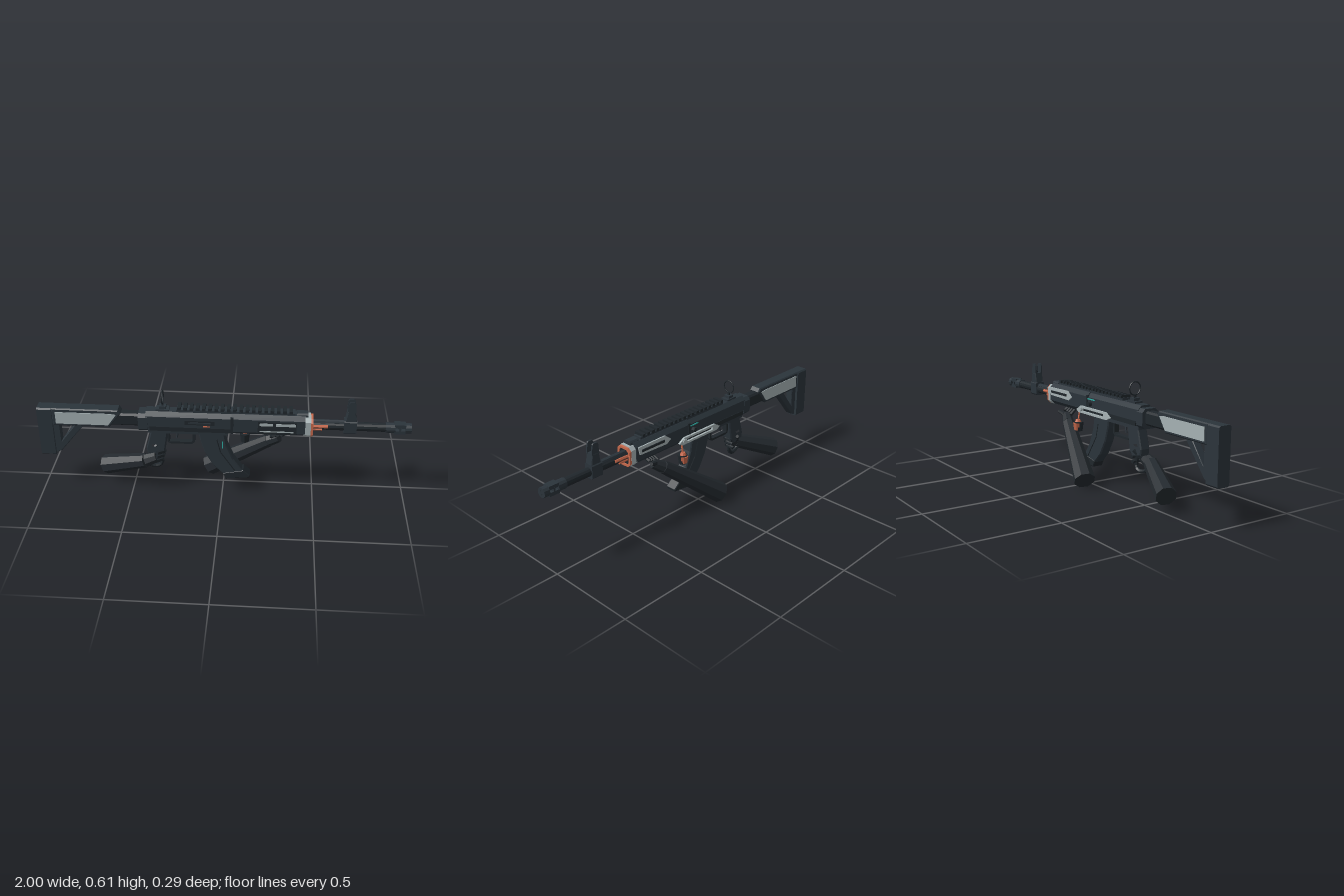
import * as THREE from 'three';

const mat = (name, color, side = THREE.FrontSide) => {
  const m = new THREE.MeshStandardMaterial({ color, flatShading: true, side });
  m.name = name;
  return m;
};

export function createModel() {
  const body = mat('gunmetal', 0x2b343b), dark = mat('dark steel', 0x20272c);
  const sleeve = mat('sleeve', 0x242a2f), light = mat('pale grey', 0xa5b1b3);
  const orange = mat('copper orange', 0xc8694c), teal = mat('teal', 0x2fb0a6);
  const model = new THREE.Group(), gun = new THREE.Group();
  gun.name = 'rifle';
  gun.position.z = 0.066;
  model.add(gun);

  const add = (name, geo, m, parent = gun) => {
    const mesh = new THREE.Mesh(geo, m);
    mesh.name = name;
    parent.add(mesh);
    return mesh;
  };
  // box given by its limits
  const box = (name, m, x0, x1, y0, y1, z0, z1, parent = gun) =>
    add(name, new THREE.BoxGeometry(x1 - x0, y1 - y0, z1 - z0), m, parent)
      .position.set((x0 + x1) / 2, (y0 + y1) / 2, (z0 + z1) / 2);
  const vecs = (pts) => pts.map(([x, y]) => new THREE.Vector2(x, y));
  // side profile extruded across z, with a small bevel
  const profile = (name, m, pts, half, holes = [], bevel = 0.006) => {
    const s = new THREE.Shape(vecs(pts));
    holes.forEach((h) => s.holes.push(new THREE.Path(vecs(h))));
    const geo = new THREE.ExtrudeGeometry(s, {
      depth: 2 * (half - bevel), bevelEnabled: bevel > 0, bevelSize: bevel, bevelOffset: -bevel,
      bevelThickness: bevel, bevelSegments: 1 });
    geo.translate(0, 0, -(half - bevel));
    return add(name, geo, m);
  };
  // chamfered rectangle swept along x, optionally hollow
  const octagon = (w, h, c) => vecs([[-w + c, -h], [w - c, -h], [w, -h + c], [w, h - c],
    [w - c, h], [-w + c, h], [-w, h - c], [-w, -h + c]]);
  const prism = (name, m, x0, x1, y0, y1, w, c, wall = 0) => {
    const h = (y1 - y0) / 2, s = new THREE.Shape(octagon(w, h, c));
    if (wall) s.holes.push(new THREE.Path(octagon(w - wall, h - wall, c * 0.8)));
    const geo = new THREE.ExtrudeGeometry(s, { depth: x1 - x0, bevelEnabled: false });
    geo.rotateY(Math.PI / 2).translate(x0, (y0 + y1) / 2, 0);
    return add(name, geo, m);
  };
  // tapered cylinder between two points
  const limb = (name, m, a, b, ra, rb, sides = 8, parent = gun) => {
    const A = new THREE.Vector3(...a), B = new THREE.Vector3(...b), d = B.clone().sub(A);
    const mesh = add(name, new THREE.CylinderGeometry(rb, ra, d.length(), sides), m, parent);
    mesh.position.copy(A).add(B).multiplyScalar(0.5);
    mesh.quaternion.setFromUnitVectors(new THREE.Vector3(0, 1, 0), d.normalize());
    return mesh;
  };

  // stock
  prism('buttPad', body, -1, -0.92, 0.205, 0.5, 0.037, 0.008);
  profile('stockBeam', body, [[-0.92, 0.395], [-0.61, 0.395], [-0.545, 0.48], [-0.56, 0.5], [-0.92, 0.5]], 0.034);
  profile('stockStrut', body, [[-0.925, 0.21], [-0.89, 0.225], [-0.75, 0.398], [-0.8, 0.398],
    [-0.885, 0.285], [-0.885, 0.398], [-0.925, 0.398]], 0.022, [], 0.004);
  profile('stockPanels', light, [[-0.9, 0.41], [-0.615, 0.41], [-0.57, 0.475], [-0.6, 0.48], [-0.9, 0.48]], 0.038, [], 0);
  prism('bufferTube', dark, -0.62, -0.44, 0.405, 0.478, 0.029, 0.01);

  // receiver
  prism('rearBlock', body, -0.45, -0.4, 0.385, 0.49, 0.05, 0.018);
  prism('receiver', body, -0.41, 0.05, 0.388, 0.502, 0.047, 0.022);
  box('receiverRib', dark, -0.39, 0.05, 0.395, 0.42, -0.05, 0.05);
  box('portFrame', dark, -0.2, -0.04, 0.44, 0.465, 0.044, 0.052);
  box('portBolt', body, -0.18, -0.06, 0.448, 0.456, 0.05, 0.055);
  box('selectorMark', orange, -0.1, -0.065, 0.428, 0.433, 0.045, 0.0505);
  box('statusLine', teal, -0.02, 0.05, 0.468, 0.474, -0.0505, -0.044);
  box('lowerReceiver', body, -0.4, 0.03, 0.372, 0.395, -0.036, 0.036);

  // handguard and nose cap
  prism('handguard', body, 0.05, 0.44, 0.384, 0.505, 0.051, 0.022);
  box('handguardJoint', dark, 0.045, 0.06, 0.395, 0.49, -0.053, 0.053);
  box('handguardRecess', dark, 0.19, 0.395, 0.405, 0.475, 0.05, 0.053);
  [[0.2, 0.27, 0.45, 0.466], [0.285, 0.39, 0.45, 0.466], [0.2, 0.38, 0.413, 0.42]].forEach(([a, b, c, d]) =>
    box('handguardVent', light, a, b, c, d, 0.052, 0.0545));
  prism('noseCap', light, 0.432, 0.47, 0.382, 0.494, 0.048, 0.018);
  prism('noseRing', orange, 0.468, 0.482, 0.382, 0.49, 0.047, 0.018, 0.012);
  prism('noseCore', dark, 0.46, 0.475, 0.395, 0.48, 0.034, 0.01);

  // far-side plates and charging handle
  profile('sidePlate', light, [[0.2, 0.455], [0.23, 0.435], [0.42, 0.44], [0.43, 0.485], [0.24, 0.487]], 0.004, [], 0)
    .position.z = -0.056;
  box('sideRib', dark, 0.25, 0.41, 0.455, 0.468, -0.066, -0.058);
  profile('handlePlate', light, [[-0.18, 0.4], [-0.15, 0.385], [0.12, 0.385], [0.14, 0.4], [0.1, 0.425], [-0.14, 0.425]],
    0.006, [[[-0.12, 0.397], [-0.12, 0.413], [0.09, 0.413], [0.09, 0.397]]], 0).position.z = -0.057;
  limb('chargingKnob', dark, [0.02, 0.445, -0.045], [0.02, 0.445, -0.066], 0.013, 0.013);
  limb('handleKnob', light, [0.1, 0.405, -0.05], [0.1, 0.405, -0.069], 0.014, 0.014);

  // top rail
  box('railBase', body, -0.245, 0.385, 0.498, 0.516, -0.026, 0.026);
  for (let i = 0; i < 19; i++) {
    const x = -0.24 + i * 0.033;
    box('railTooth', dark, x, x + 0.019, 0.514, 0.53, -0.03, 0.03);
  }
  prism('railEnd', body, 0.395, 0.455, 0.488, 0.515, 0.025, 0.008);

  // rear ring sight
  box('rearSightBase', body, -0.355, -0.285, 0.498, 0.512, -0.024, 0.024);
  box('rearSightPost', body, -0.338, -0.302, 0.51, 0.527, -0.018, 0.018);
  box('rearSightStem', dark, -0.325, -0.315, 0.525, 0.545, -0.006, 0.006);
  const ring = add('rearSightRing', new THREE.TorusGeometry(0.035, 0.0035, 6, 28), dark);
  ring.rotation.y = Math.PI / 2;
  ring.position.set(-0.32, 0.576, 0);

  // barrel and gas tubes
  limb('barrel', dark, [0.46, 0.437, 0], [0.88, 0.437, 0], 0.024, 0.024, 12);
  limb('gasTube', body, [0.46, 0.458, 0], [0.66, 0.458, 0], 0.014, 0.014);
  [-1, 1].forEach((s) => {
    limb('copperRod', orange, [0.46, 0.442, s * 0.022], [0.56, 0.442, s * 0.022], 0.009, 0.009, 6);
    limb('copperRod', orange, [0.46, 0.422, s * 0.016], [0.53, 0.422, s * 0.016], 0.009, 0.009, 6);
  });

  // front sight
  prism('frontSightBlock', body, 0.645, 0.712, 0.4, 0.48, 0.028, 0.008);
  profile('frontSightTower', body, [[0.65, 0.475], [0.71, 0.475], [0.7, 0.535], [0.66, 0.535]], 0.024, [], 0.003);
  [-1, 1].forEach((s) => {
    const ear = profile('frontSightEar', body, [[0.657, 0.53], [0.703, 0.53], [0.697, 0.585], [0.69, 0.592], [0.668, 0.592], [0.66, 0.58]], 0.004, [], 0);
    ear.position.z = s * 0.019;
  });
  limb('frontSightPin', dark, [0.68, 0.53, 0], [0.68, 0.576, 0], 0.006, 0.002, 6);

  // slotted muzzle
  limb('muzzleCollar', body, [0.865, 0.437, 0], [0.915, 0.437, 0], 0.028, 0.028, 12);
  limb('muzzleTip', body, [0.968, 0.437, 0], [1, 0.437, 0], 0.028, 0.028, 12);
  limb('muzzleBore', dark, [0.999, 0.437, 0], [1.0, 0.437, 0], 0.014, 0.014, 12);
  [-1, 1].forEach((s) => box('muzzleBar', body, 0.91, 0.97, 0.427 + s * 0.018, 0.447 + s * 0.018, -0.022, 0.022));
  box('muzzleWeb', body, 0.935, 0.945, 0.425, 0.45, -0.024, 0.024);

  // pistol grip with an opening near its foot, and trigger
  profile('pistolGrip', body, [[-0.385, 0.385], [-0.295, 0.385], [-0.305, 0.31], [-0.315, 0.25], [-0.34, 0.22], [-0.41, 0.235],
    [-0.415, 0.27]], 0.03, [[[-0.395, 0.275], [-0.385, 0.302], [-0.345, 0.295], [-0.352, 0.275]]]);
  profile('triggerGuard', dark, [[-0.3, 0.385], [-0.3, 0.305], [-0.285, 0.295], [-0.165, 0.295], [-0.15, 0.31], [-0.15, 0.385]],
    0.015, [[[-0.288, 0.375], [-0.163, 0.375], [-0.163, 0.315], [-0.172, 0.307], [-0.288, 0.307]]], 0);
  limb('trigger', body, [-0.24, 0.375, 0], [-0.25, 0.325, 0], 0.008, 0.005, 6);

  // curved magazine
  profile('magazine', body, [[-0.13, 0.385], [0.01, 0.385], [0.025, 0.3], [0.06, 0.215], [0.12, 0.13], [0.01, 0.108],
    [-0.05, 0.17], [-0.095, 0.25], [-0.12, 0.33]], 0.031);
  profile('magazineFoot', dark, [[0.0, 0.122], [0.02, 0.085], [0.15, 0.098], [0.152, 0.112], [0.115, 0.145]], 0.033, [], 0.004);
  [-1, 1].forEach((s) => {
    limb('magazineRib', dark, [-0.03, 0.34, s * 0.03], [-0.01, 0.26, s * 0.03], 0.004, 0.004, 4);
    limb('magazineRib', dark, [-0.01, 0.26, s * 0.03], [0.07, 0.14, s * 0.03], 0.004, 0.004, 4);
  });
  box('magazineLight', teal, -0.002, 0.004, 0.285, 0.33, 0.03, 0.0325);

  // hanging charm
  const charm = new THREE.Group();
  charm.name = 'charm';
  charm.position.set(0.118, 0.305, 0);
  model.add(charm);
  limb('charmLink', orange, [0, 0.025, 0], [0, 0.085, 0.01], 0.005, 0.005, 6, charm);
  limb('charmCap', orange, [0, 0.022, 0], [0, 0.04, 0], 0.02, 0.012, 8, charm);
  limb('charmBody', dark, [0, -0.026, 0.004], [0, 0.026, 0.004], 0.022, 0.028, 8, charm);
  limb('charmBack', orange, [0, -0.02, -0.006], [0, 0.02, -0.006], 0.018, 0.024, 8, charm);

  // arms: a tapered sleeve, wrist cuff, palm and curled fingers
  const arm = (name, end, cuff, palm, rEnd, rCuff) => {
    const g = new THREE.Group();
    g.name = name;
    model.add(g);
    limb('forearm', sleeve, end, cuff, rEnd, rCuff, 8, g);
    limb('palm', sleeve, cuff, palm, rCuff * 0.95, rCuff * 0.75, 8, g);
    return g;
  };
  const support = arm('supportArm', [-0.083, 0.049, -0.09], [0.25, 0.3, 0.02], [0.305, 0.335, 0.042], 0.06, 0.036);
  for (let i = 0; i < 4; i++) {
    const x = 0.265 + i * 0.02, y = 0.345 + i * 0.005;
    limb('finger', dark, [x, y - 0.005, 0.045], [x + 0.01, y + 0.022, 0.082], 0.012, 0.01, 6, support);
  }
  limb('thumb', dark, [0.3, 0.34, 0.025], [0.34, 0.355, 0.012], 0.014, 0.01, 6, support);

  const firing = arm('firingArm', [-0.665, 0.09, 0.005], [-0.42, 0.19, 0.1], [-0.36, 0.215, 0.1], 0.056, 0.04);
  for (let i = 0; i < 3; i++) {
    const y = 0.25 - i * 0.026, x = -0.325 - i * 0.006;
    limb('finger', dark, [x - 0.03, y, 0.115], [x + 0.005, y - 0.004, 0.085], 0.013, 0.013, 6, firing);
    limb('fingertip', dark, [x + 0.005, y - 0.004, 0.085], [x, y - 0.008, 0.04], 0.013, 0.01, 6, firing);
  }
  // looped fingers under the grip
  const loop = new THREE.CatmullRomCurve3([[-0.43, 0.17, 0.08], [-0.4, 0.148, 0.075], [-0.355, 0.143, 0.07], [-0.335, 0.165, 0.07],
    [-0.34, 0.22, 0.07]].map((p) => new THREE.Vector3(...p)));
  add('lowerFinger', new THREE.TubeGeometry(loop, 10, 0.011, 6), dark, firing);
  limb('thumb', dark, [-0.39, 0.22, 0.06], [-0.36, 0.26, 0.03], 0.014, 0.011, 6, firing);
  return model;
}
